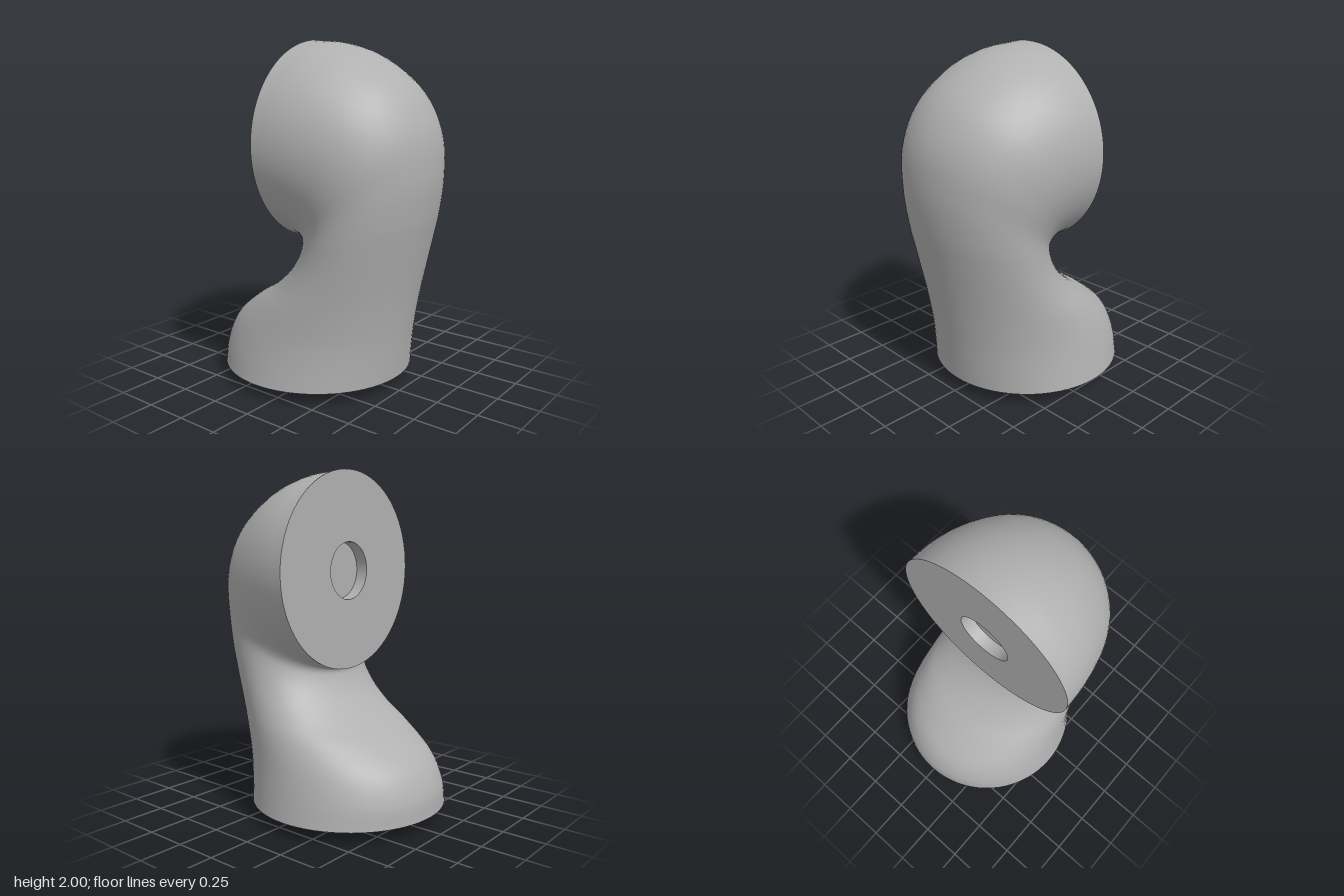
import * as THREE from 'three';

// Cross-sections from the base to the rear face:
// outer edge z, y, inner edge z, y, half width
const SECTIONS = [
  [0.475, 0.075, -0.675, 0.075, 0.575],
  [0.49, 0.2, -0.665, 0.2, 0.553],
  [0.51, 0.35, -0.6, 0.34, 0.527],
  [0.545, 0.55, -0.45, 0.465, 0.5],
  [0.58, 0.72, -0.28, 0.57, 0.475],
  [0.615, 0.88, -0.16, 0.67, 0.46],
  [0.65, 1.05, -0.09, 0.76, 0.455],
  [0.675, 1.28, -0.062, 0.82, 0.458],
  [0.65, 1.52, -0.06, 0.84, 0.488],
  [0.53, 1.74, -0.065, 0.85, 0.525],
  [0.3, 1.91, -0.075, 0.855, 0.557],
  [0.1, 1.98, -0.088, 0.857, 0.571],
  [-0.1, 2.0, -0.1, 0.855, 0.575],
];
const ROWS = 60, SIDES = 72;
const AXIS_Z = -0.1, BASE_Y = 0.075, FACE_Y = 1.4275, RADIUS = 0.575, PEG = 0.167, DEPTH = 0.075;

// Bent tube lofted through elliptical sections
function bentBody() {
  const curve = (f) => new THREE.CatmullRomCurve3(SECTIONS.map(f));
  const outer = curve((s) => new THREE.Vector3(s[4], s[1], s[0]));
  const inner = curve((s) => new THREE.Vector3(s[4], s[3], s[2]));
  const pos = [], index = [];
  for (let i = 0; i <= ROWS; i++) {
    const o = outer.getPoint(i / ROWS), n = inner.getPoint(i / ROWS);
    for (let j = 0; j < SIDES; j++) {
      const a = (j / SIDES) * Math.PI * 2, k = (1 + Math.cos(a)) / 2;
      pos.push(o.x * Math.sin(a), n.y + (o.y - n.y) * k, n.z + (o.z - n.z) * k);
      if (i === ROWS) continue;
      const p = i * SIDES + j, q = i * SIDES + ((j + 1) % SIDES);
      index.push(p, q, q + SIDES, p, q + SIDES, p + SIDES);
    }
  }
  const geo = new THREE.BufferGeometry();
  geo.setAttribute('position', new THREE.Float32BufferAttribute(pos, 3));
  geo.setIndex(index);
  geo.computeVertexNormals();
  return geo;
}

export function createModel() {
  const group = new THREE.Group();
  const grey = new THREE.MeshStandardMaterial({ color: 0xb0b0b0, side: THREE.DoubleSide });
  grey.name = 'grey';
  const add = (name, geo, y, z) => {
    const mesh = new THREE.Mesh(geo, grey);
    mesh.name = name;
    mesh.position.set(0, y, z);
    group.add(mesh);
  };

  add('bentBody', bentBody(), 0, 0);

  // Flat base with its peg
  add('baseFace', new THREE.CircleGeometry(RADIUS, SIDES).rotateX(Math.PI / 2), BASE_Y, AXIS_Z);
  add('basePeg', new THREE.CylinderGeometry(PEG, PEG, BASE_Y, 48), BASE_Y / 2, AXIS_Z);

  // Flat rear face with its round socket
  add('rearFace', new THREE.RingGeometry(PEG, RADIUS, SIDES).rotateY(Math.PI), FACE_Y, AXIS_Z);
  add('socketWall', new THREE.CylinderGeometry(PEG, PEG, DEPTH, SIDES, 1, true).rotateX(Math.PI / 2),
    FACE_Y, AXIS_Z + DEPTH / 2);
  add('socketFloor', new THREE.CircleGeometry(PEG, SIDES).rotateY(Math.PI), FACE_Y, AXIS_Z + DEPTH);
  return group;
}
